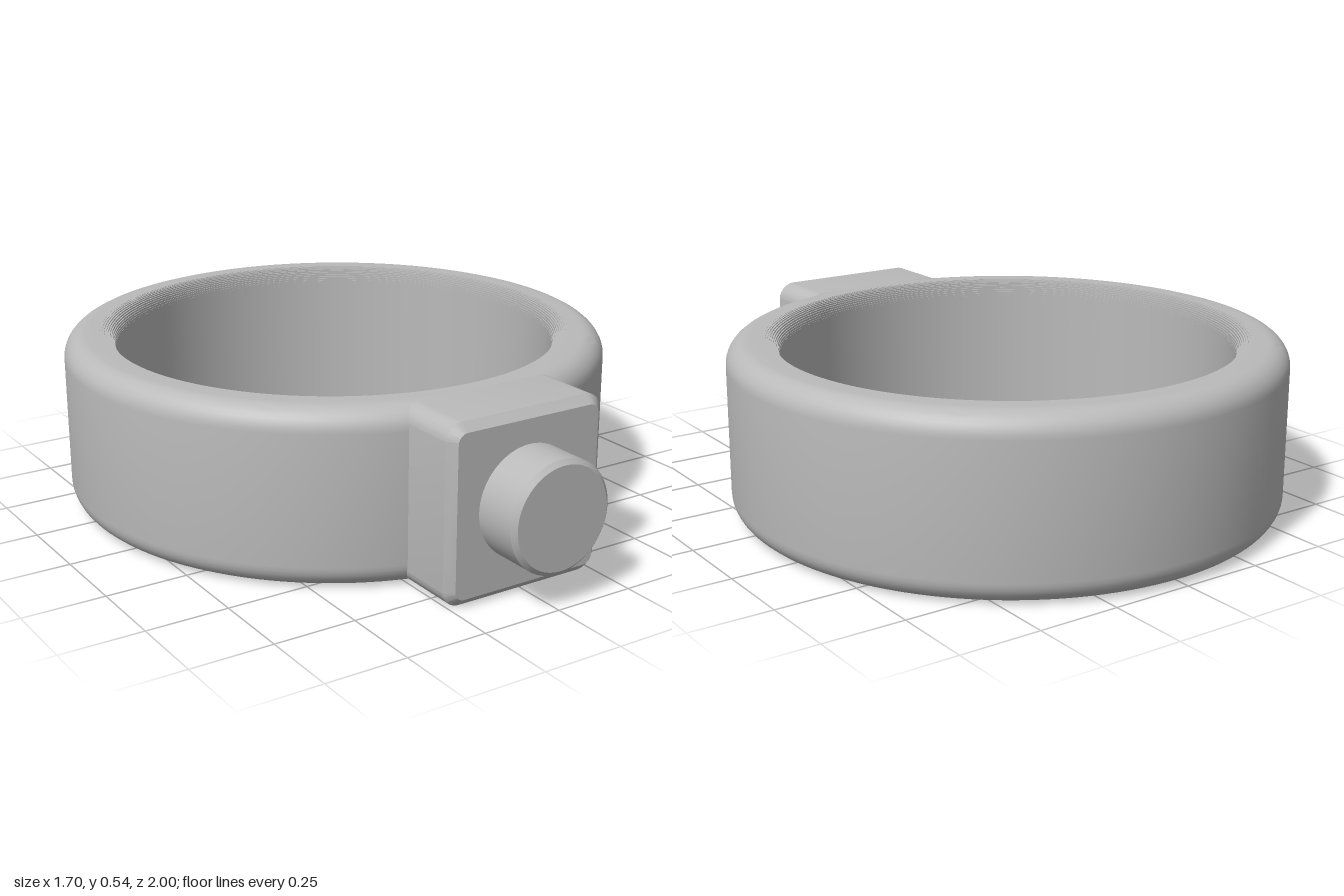
import * as THREE from 'three';
import { toCreasedNormals } from 'three/addons/utils/BufferGeometryUtils.js';

const H = 0.535, OUTER = 0.85, INNER = 0.69, RING_Z = -0.15;

// Closed ring section: rounded outer edges, finely stepped inner edges
function ringProfile() {
  const pts = [];
  const add = (r, y) => pts.push(new THREE.Vector2(r, y));
  const R = 0.07, r = 0.055, n = 8, steps = 12;
  for (const top of [false, true]) {
    for (let i = 0; i <= n; i++) {
      const a = (i / n) * Math.PI / 2 - (top ? 0 : Math.PI / 2);
      add(OUTER - R + R * Math.cos(a), (top ? H - R : R) + R * Math.sin(a));
    }
  }
  const stairs = [];
  let depth = 0;
  for (let i = 1; i <= steps; i++) {
    const a = (i / steps) * Math.PI / 2;
    const x = INNER + r - r * Math.sin(a);
    stairs.push([x, depth]);
    depth = r - r * Math.cos(a);
    stairs.push([x, depth]);
  }
  stairs.forEach(([x, d]) => add(x, H - d));
  stairs.reverse().forEach(([x, d]) => add(x, d));
  pts.push(pts[0].clone());
  return pts;
}

function roundedRect(w, h, r) {
  const s = new THREE.Shape();
  const x = w / 2 - r, y = h / 2 - r;
  s.absarc(x, y, r, 0, Math.PI / 2);
  s.absarc(-x, y, r, Math.PI / 2, Math.PI);
  s.absarc(-x, -y, r, Math.PI, Math.PI * 1.5);
  s.absarc(x, -y, r, Math.PI * 1.5, Math.PI * 2);
  s.closePath();
  return s;
}

export function createModel() {
  const group = new THREE.Group();
  const grey = new THREE.MeshStandardMaterial({ color: 0xbababa });
  grey.name = 'plain grey';
  const add = (name, geometry, y, z) => {
    const mesh = new THREE.Mesh(toCreasedNormals(geometry, 0.5), grey);
    mesh.name = name;
    mesh.position.set(0, y, z);
    group.add(mesh);
  };

  // Ring band
  add('ringBand', new THREE.LatheGeometry(ringProfile(), 128), 0, RING_Z);

  // Mounting block with chamfered front and back edges
  const c = 0.025, back = 0.6, front = 0.85;
  const block = new THREE.ExtrudeGeometry(roundedRect(0.53 - 2 * c, H - 2 * c, 0.03), {
    depth: front - back - 2 * c, bevelEnabled: true, bevelThickness: c,
    bevelSize: c, bevelSegments: 1, curveSegments: 8,
  });
  add('mountingBlock', block, H / 2, back + c);

  // Round knob with a chamfered end, turned to point forward
  const knob = new THREE.LatheGeometry(
    [[0, 0], [0.167, 0], [0.167, 0.187], [0.153, 0.2], [0, 0.2]].map(([r, y]) => new THREE.Vector2(r, y)), 64);
  knob.rotateX(Math.PI / 2);
  add('knob', knob, 0.27, 0.8);

  return group;
}
